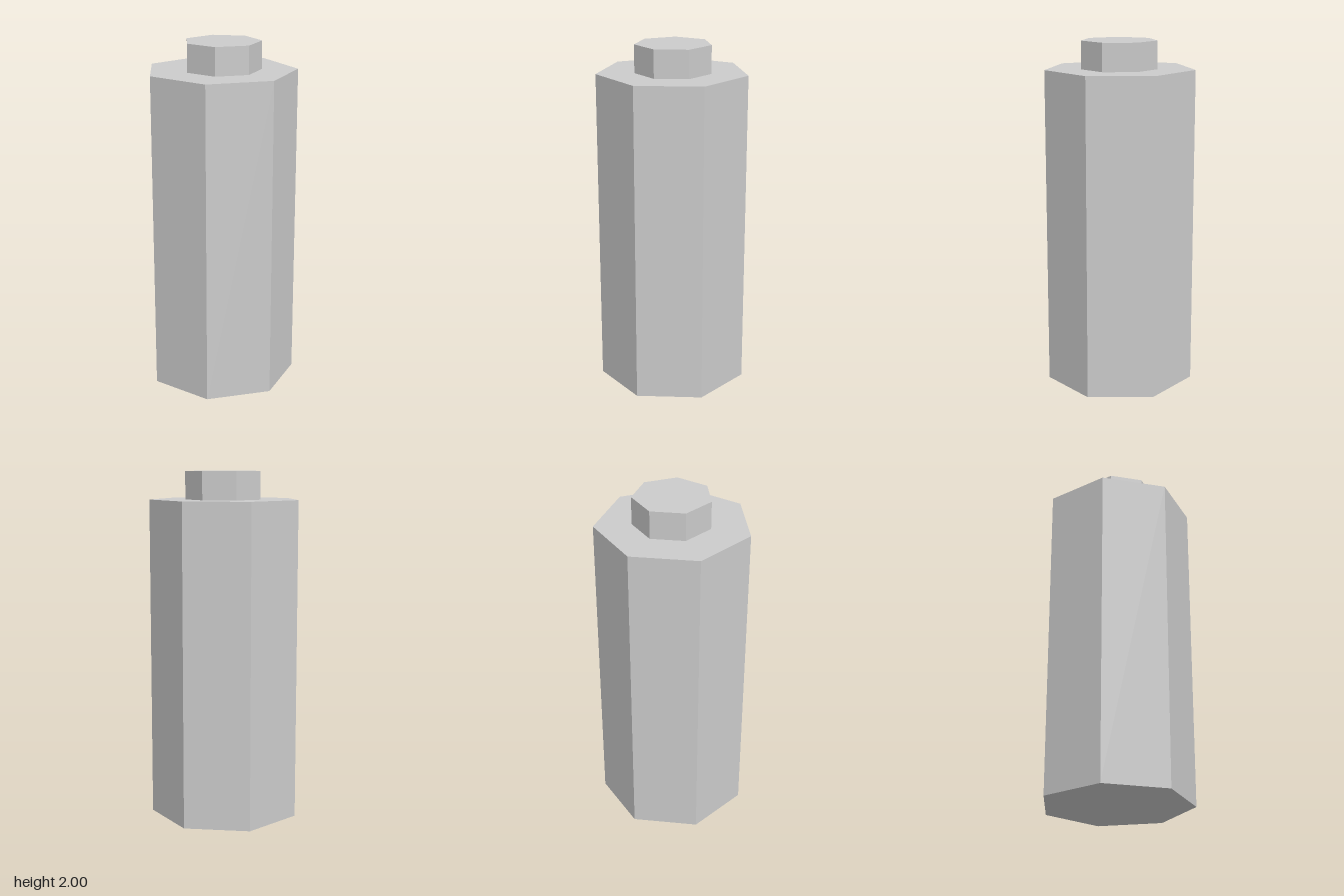
import * as THREE from 'three';

const SIDES = 7;

// Upright seven-sided prism with one corner pointing to +x
function prism(name, radius, bottom, top, x, material) {
  const geometry = new THREE.CylinderGeometry(radius, radius, top - bottom, SIDES, 1, false, Math.PI / 2);
  const mesh = new THREE.Mesh(geometry, material);
  mesh.name = name;
  mesh.position.set(x, (bottom + top) / 2, 0);
  return mesh;
}

export function createModel() {
  const group = new THREE.Group();
  group.name = 'battery';
  const grey = new THREE.MeshStandardMaterial({ color: 0xcccccc, flatShading: true });

  // Main casing
  group.add(prism('body', 0.434, 0, 1.84, -0.0215, grey));
  // Raised contact on the top
  group.add(prism('terminal', 0.22, 1.84, 2, -0.012, grey));

  return group;
}
